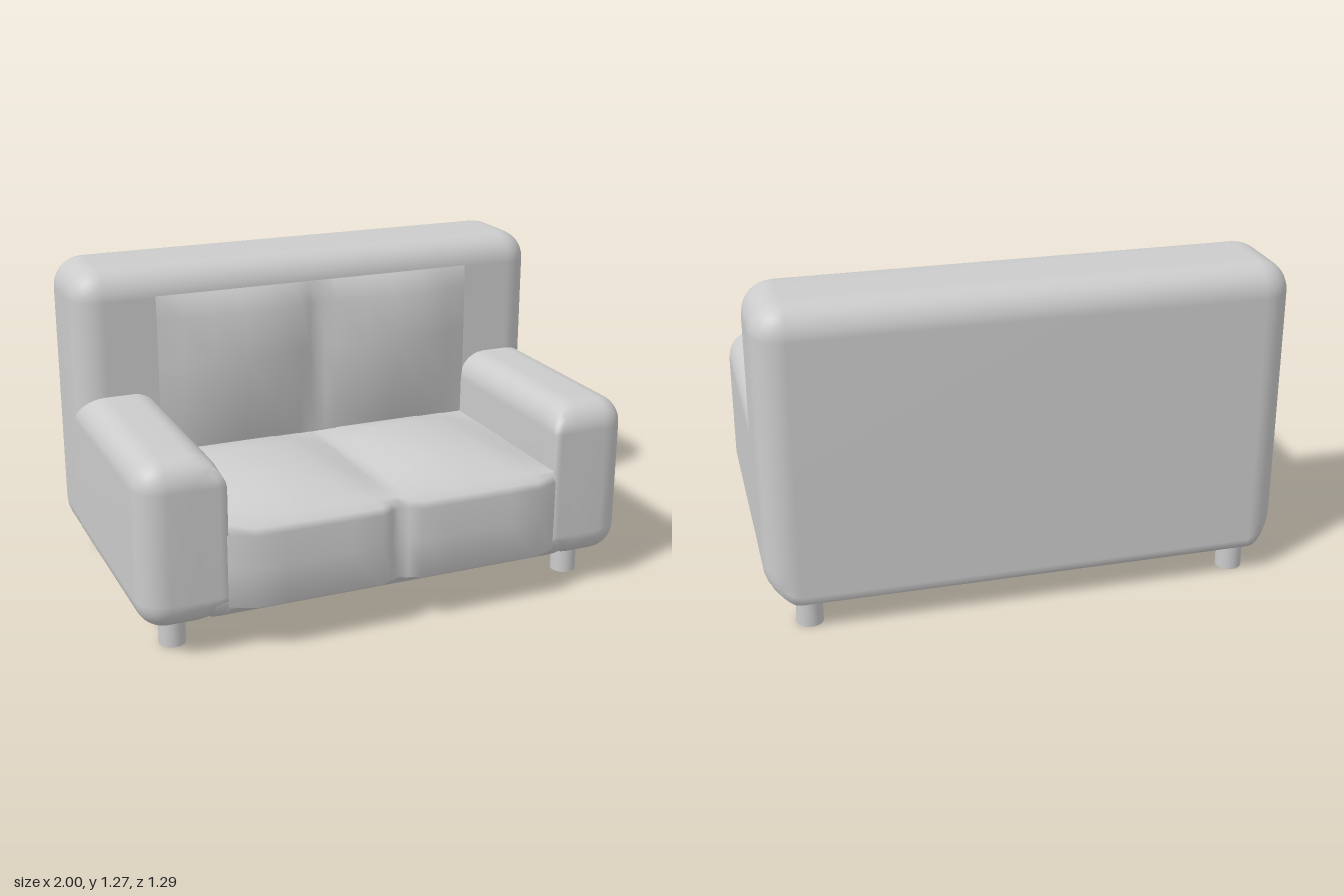
import * as THREE from 'three';
import { mergeVertices } from 'three/addons/utils/BufferGeometryUtils.js';

const grey = new THREE.MeshStandardMaterial({ color: 0xcccccc });
const fabric = new THREE.MeshStandardMaterial({ color: 0xcccccc, side: THREE.DoubleSide });

// Box with rounded edges. sharpAlong(p) may return an axis (0, 1, 2): edges
// running along that axis stay square at p; it returns -1 for full rounding.
function softBox(lo, hi, r, sharpAlong = () => -1) {
  const k = 4, n = 2 * k + 1;
  const geo = new THREE.BoxGeometry(1, 1, 1, n, n, n);
  geo.deleteAttribute('uv');
  geo.deleteAttribute('normal');
  const pos = geo.attributes.position;
  for (let v = 0; v < pos.count; v++) {
    const p = [0, 1, 2].map(a => {
      const i = Math.round((pos.getComponent(v, a) + 0.5) * n);
      return i <= k ? lo[a] + r * i / k : hi[a] - r * (n - i) / k;
    });
    const core = p.map((c, a) => Math.min(Math.max(c, lo[a] + r), hi[a] - r));
    const d = p.map((c, a) => c - core[a]);
    const along = sharpAlong(p);
    const q = p.map((c, a) => {
      const used = d.map((e, b) => (along < 0 || a === along || b === a || b === along) ? e : 0);
      const len = Math.hypot(...used);
      const big = Math.max(...used.map(Math.abs));
      return core[a] + (len > 0 ? d[a] * big / len : 0);
    });
    pos.setXYZ(v, ...q);
  }
  const out = mergeVertices(geo, 1e-5);
  out.computeVertexNormals();
  return out;
}

// Surface through one profile of [y, z] points at each x station
function loft(stations, profile) {
  const verts = [], index = [];
  const rows = stations.map(profile);
  const m = rows[0].length;
  rows.forEach((row, i) => row.forEach(([y, z], j) => {
    verts.push(stations[i], y, z);
    if (i && j) {
      const a = (i - 1) * m + j - 1, b = a + m;
      index.push(a, a + 1, b, b, a + 1, b + 1);
    }
  }));
  const geo = new THREE.BufferGeometry();
  geo.setAttribute('position', new THREE.Float32BufferAttribute(verts, 3));
  geo.setIndex(index);
  geo.computeVertexNormals();
  return geo;
}

// Two-cushion swelling: 0 at the middle and at the arms, 1 in between
const swell = (x, a, b, end) => {
  const t = Math.abs(x);
  return Math.max(0, Math.min(1, t / a, (end - t) / (end - b)));
};

export function createModel() {
  const group = new THREE.Group();
  const add = (name, geo, mat = grey) => {
    const mesh = new THREE.Mesh(geo, mat);
    mesh.name = name;
    group.add(mesh);
    return mesh;
  };

  // Backrest, with a square lower rear edge
  add('backrest', softBox([-1, 0.12, -0.645], [1, 1.27, -0.21], 0.12,
    p => (p[1] < 0.25 && p[2] < -0.4 ? 0 : -1)));

  // Base under the seat
  add('base', softBox([-0.8, 0.123, -0.5], [0.8, 0.45, 0.598], 0.1));

  // Arms, with a square inner front edge against the seat
  for (const s of [1, -1]) {
    const lo = s > 0 ? 0.67 : -0.998, hi = s > 0 ? 0.998 : -0.67;
    add(s > 0 ? 'leftArm' : 'rightArm', softBox([lo, 0.121, -0.46], [hi, 0.77, 0.6], 0.11,
      p => (s * p[0] < 0.8 ? 1 : -1)));
  }

  // Seat and back cushions
  const half = [0.035, 0.08, 0.2, 0.33, 0.46, 0.58, 0.675];
  const stations = [...half.map(x => -x).reverse(), 0, ...half];
  add('seatCushions', loft(stations, x => {
    const top = 0.51 + 0.06 * swell(x, 0.2, 0.46, 0.675);
    const front = 0.6 + 0.045 * swell(x, 0.08, 0.58, 0.675);
    return [
      [0.17, 0.5], [0.17, 0.59], [0.19, front], [0.34, front], [0.47, front],
      [0.495, front - 0.012], [0.512, 0.59], [0.4 * 0.51 + 0.6 * top, 0.5],
      [top, 0.35], [top, 0], [0.51, -0.22],
    ];
  }), fabric);
  add('backCushions', loft(stations, x => {
    const z = -0.203 + 0.058 * swell(x, 0.2, 0.46, 0.675);
    return [[0.45, -0.207], [0.52, -0.205], [0.68, z], [0.88, z], [1.07, z], [1.15, -0.207], [1.18, -0.225]];
  }), fabric);

  // Legs
  for (const x of [-0.84, 0.84]) for (const z of [0.42, -0.555]) {
    add('leg', new THREE.CylinderGeometry(0.051, 0.051, 0.16, 24)).position.set(x, 0.08, z);
  }
  return group;
}
